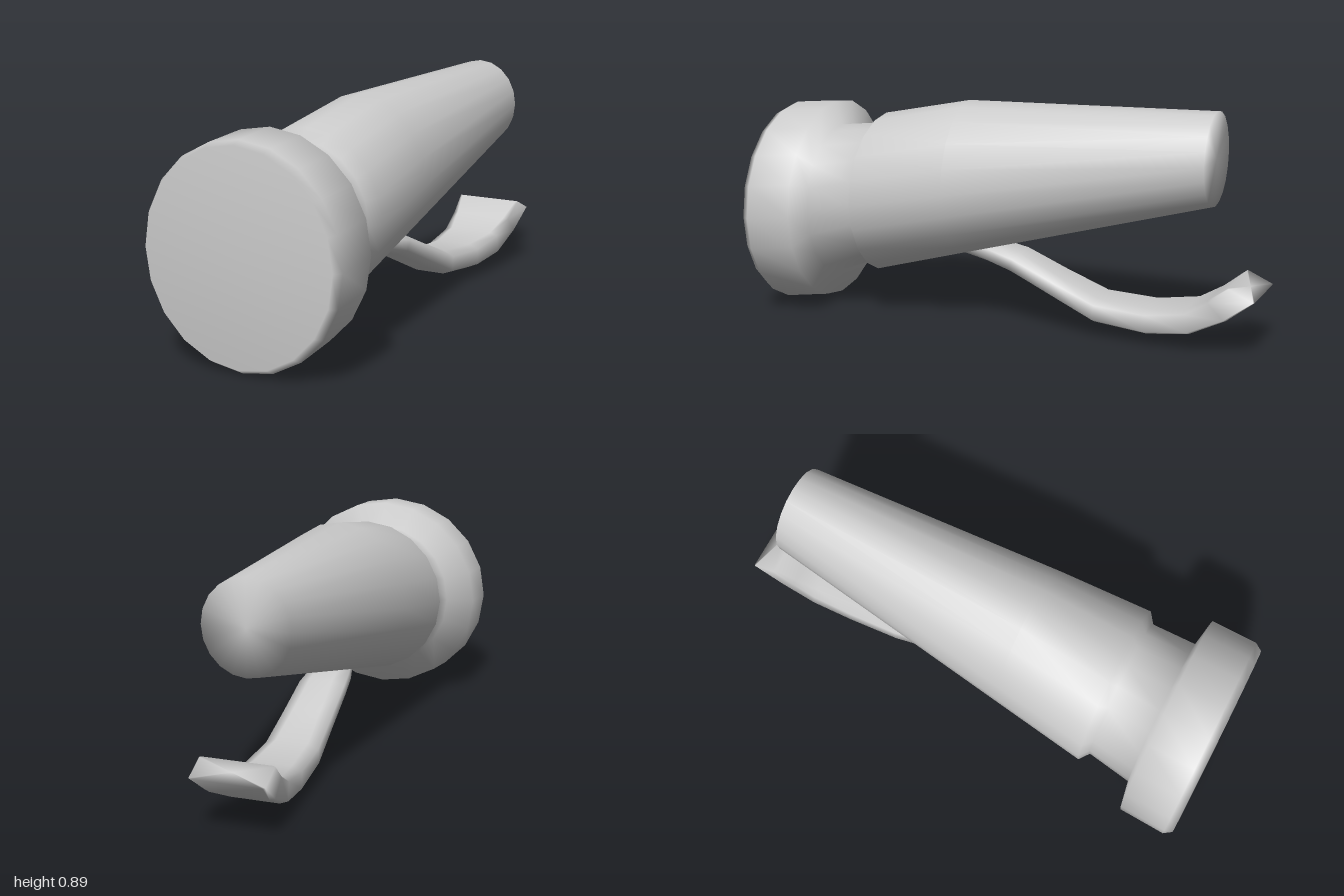
import * as THREE from 'three';

const material = new THREE.MeshStandardMaterial({ color: 0xcccccc, side: THREE.DoubleSide });

// Skin a row of equal-sized rings (front to back) and close both ends
function loft(name, rings) {
  const n = rings[0].length;
  const points = rings.flat();
  const index = [];
  for (let i = 0; i < rings.length - 1; i++) {
    for (let k = 0; k < n; k++) {
      const a = i * n + k, b = i * n + (k + 1) % n;
      index.push(a, a + n, b, b, a + n, b + n);
    }
  }
  const middle = (ring) => ring.reduce((s, p) => s.add(p), new THREE.Vector3()).divideScalar(n);
  const front = points.push(middle(rings[0])) - 1;
  const back = points.push(middle(rings[rings.length - 1])) - 1;
  const last = (rings.length - 1) * n;
  for (let k = 0; k < n; k++) {
    const next = (k + 1) % n;
    index.push(front, k, next, back, last + next, last + k);
  }
  const geometry = new THREE.BufferGeometry().setFromPoints(points);
  geometry.setIndex(index);
  geometry.computeVertexNormals();
  const mesh = new THREE.Mesh(geometry, material);
  mesh.name = name;
  return mesh;
}

// Round section whose upper and lower halves may differ in height
function roundRing([z, centreY, halfWidth, bottom, top], sides = 20) {
  return Array.from({ length: sides }, (_, k) => {
    const a = (k / sides) * Math.PI * 2, s = Math.sin(a);
    const y = centreY + s * (s > 0 ? top - centreY : centreY - bottom);
    return new THREE.Vector3(Math.cos(a) * halfWidth, y, z);
  });
}

// Flat section with chamfered corners, between a top and a bottom point
function stripRing([topZ, topY, bottomZ, bottomY, halfWidth, chamfer]) {
  const c = 1 - chamfer, v = 0.5 * chamfer;
  const outline = [
    [1, v], [1, 1 - v], [c, 1], [-c, 1],
    [-1, 1 - v], [-1, v], [-c, 0], [c, 0],
  ];
  return outline.map(([x, t]) => new THREE.Vector3(
    x * halfWidth,
    THREE.MathUtils.lerp(bottomY, topY, t),
    THREE.MathUtils.lerp(bottomZ, topZ, t),
  ));
}

export function createModel() {
  const model = new THREE.Group();
  model.name = 'handTorch';

  // Wide head, narrow neck and tapering handle: z, centre y, half width, bottom, top
  model.add(loft('body', [
    [1.0, 0.41, 0.385, 0.02, 0.80],
    [0.97, 0.41, 0.406, 0.002, 0.815],
    [0.785, 0.43, 0.402, 0.03, 0.832],
    [0.765, 0.43, 0.292, 0.127, 0.735],
    [0.59, 0.475, 0.275, 0.195, 0.755],
    [0.56, 0.478, 0.315, 0.16, 0.797],
    [0.19, 0.543, 0.275, 0.263, 0.872],
    [-0.805, 0.716, 0.166, 0.538, 0.895],
  ].map((r) => roundRing(r))));

  // Curved clip under the handle: top z, y, bottom z, y, half width, chamfer
  model.add(loft('clip', [
    [0.22, 0.33, 0.20, 0.262, 0.05, 0.5],
    [0.06, 0.315, 0.10, 0.245, 0.08, 0.5],
    [-0.04, 0.292, 0.0, 0.215, 0.092, 0.5],
    [-0.2, 0.222, -0.19, 0.132, 0.098, 0.45],
    [-0.37, 0.153, -0.36, 0.058, 0.105, 0.4],
    [-0.57, 0.14, -0.575, 0.04, 0.114, 0.35],
    [-0.73, 0.16, -0.745, 0.066, 0.125, 0.25],
    [-0.82, 0.21, -0.89, 0.14, 0.132, 0.15],
    [-0.9, 0.272, -1.0, 0.227, 0.14, 0.06],
  ].map(stripRing)));

  return model;
}
